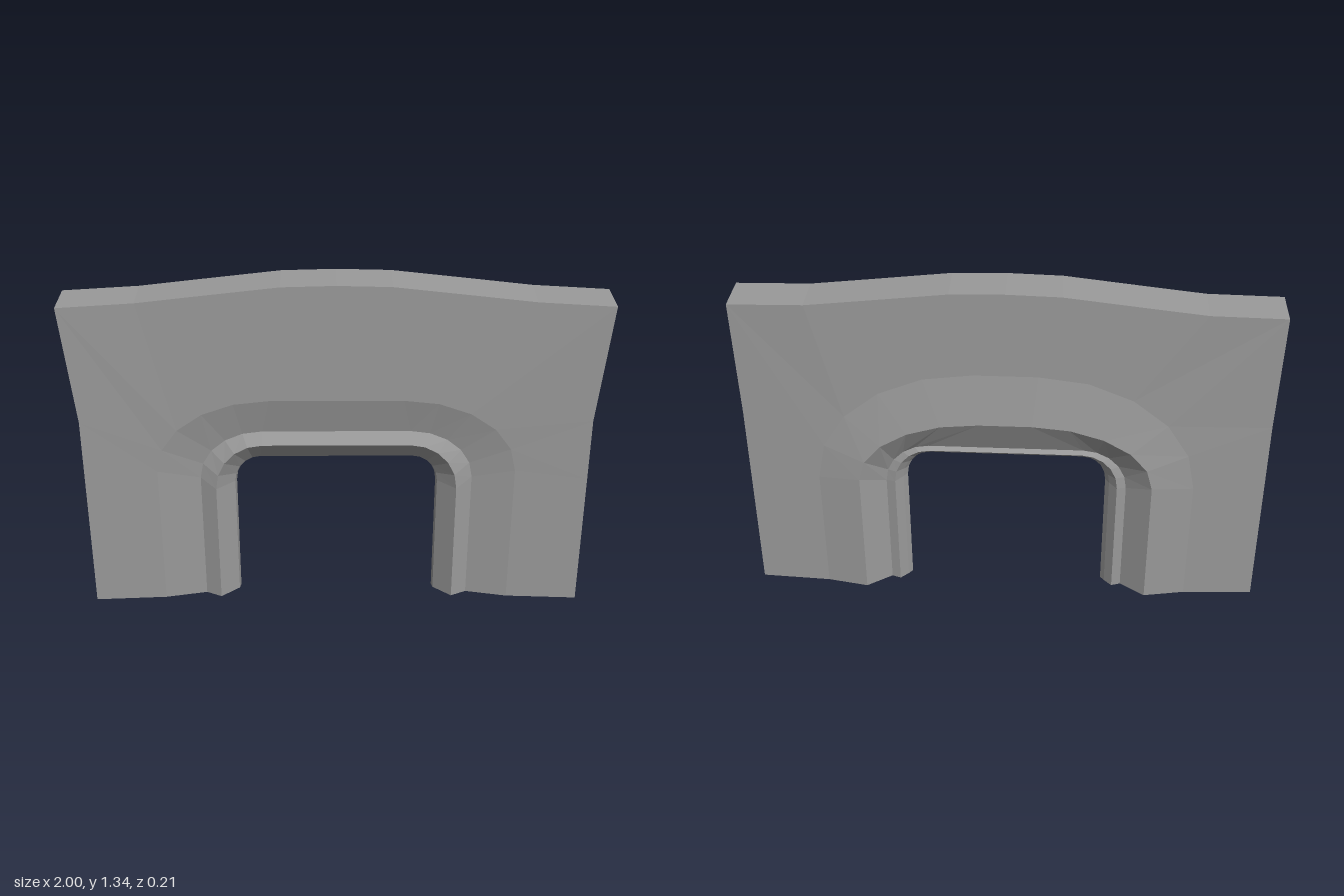
import * as THREE from 'three';

const STEPS = 5; // facets per rounded corner

// Mirrors a half outline (+x side, bottom to top centre) to a full one
function mirror(half) {
  const other = half.slice(0, -1).reverse().map((p) => new THREE.Vector3(-p.x, p.y, p.z));
  return [...half, ...other];
}

// Arch outline: half width w, height h, depth z, corner radii rx and ry
function arch(w, h, z, rx, ry) {
  const half = [new THREE.Vector3(w, 0, z)];
  for (let i = 0; i <= STEPS; i++) {
    const a = (i / STEPS) * Math.PI / 2;
    half.push(new THREE.Vector3(w - rx + rx * Math.cos(a), h - ry + ry * Math.sin(a), z));
  }
  half.push(new THREE.Vector3(0, h, z));
  return mirror(half);
}

// Outer wall outline, with depth bending towards the ends
function outer(w, zMid, zEnd) {
  const pts = [[w, 0], [w, 0.55], [w, 0.8], [1, 1.26], [0.72, 1.272], [0.5, 1.297], [0.2, 1.331], [0, 1.336]];
  return mirror(pts.map(([x, y]) => {
    const t = Math.min(1, Math.max(0, (x - 0.7) / 0.25));
    return new THREE.Vector3(x, y, zMid + (zEnd - zMid) * t);
  }));
}

// Surface through successive outlines, from point index first to last
function loft(name, rings, material, first = 0, last = rings[0].length - 1) {
  const pos = [];
  for (let i = 0; i < rings.length - 1; i++) {
    for (let j = first; j < last; j++) {
      const a = rings[i][j], b = rings[i][j + 1], c = rings[i + 1][j + 1], d = rings[i + 1][j];
      for (const p of [a, b, c, a, c, d]) pos.push(p.x, p.y, p.z);
    }
  }
  const geo = new THREE.BufferGeometry();
  geo.setAttribute('position', new THREE.Float32BufferAttribute(pos, 3));
  geo.computeVertexNormals();
  const mesh = new THREE.Mesh(geo, material);
  mesh.name = name;
  return mesh;
}

export function createModel() {
  const group = new THREE.Group();
  group.name = 'archedWall';
  const plaster = new THREE.MeshStandardMaterial({ color: 0x9a9a9a, side: THREE.DoubleSide, flatShading: true });
  plaster.name = 'grey plaster';

  const frontOuter = outer(0.955, 0.088, 0.103);
  const frontInner = arch(0.52, 0.735, 0.055, 0.24, 0.2);
  const backOuter = outer(0.99, -0.076, -0.062);
  const backInner = arch(0.56, 0.8, -0.105, 0.46, 0.27);

  // Front sheet, sloping into a recess around the opening
  group.add(loft('frontWall', [frontOuter, arch(0.68, 0.88, 0.088, 0.43, 0.3), frontInner], plaster));

  // Moulded frame lining the opening from front to back
  group.add(loft('doorFrame', [
    frontInner,
    arch(0.46, 0.69, 0.085, 0.18, 0.19),
    arch(0.39, 0.612, 0.025, 0.1, 0.11),
    arch(0.385, 0.607, 0.0, 0.1, 0.11),
    arch(0.4, 0.615, -0.02, 0.11, 0.12),
    arch(0.43, 0.64, -0.05, 0.14, 0.15),
    arch(0.465, 0.655, -0.038, 0.17, 0.17),
    backInner,
  ], plaster));

  // Back sheet, bulging outwards around the opening
  group.add(loft('backWall', [backInner, arch(0.72, 1.0, -0.076, 0.6, 0.48), backOuter], plaster));

  // Curved strip closing the top; ends and bottom stay open
  group.add(loft('topCap', [backOuter, frontOuter], plaster, 3, 11));
  return group;
}
